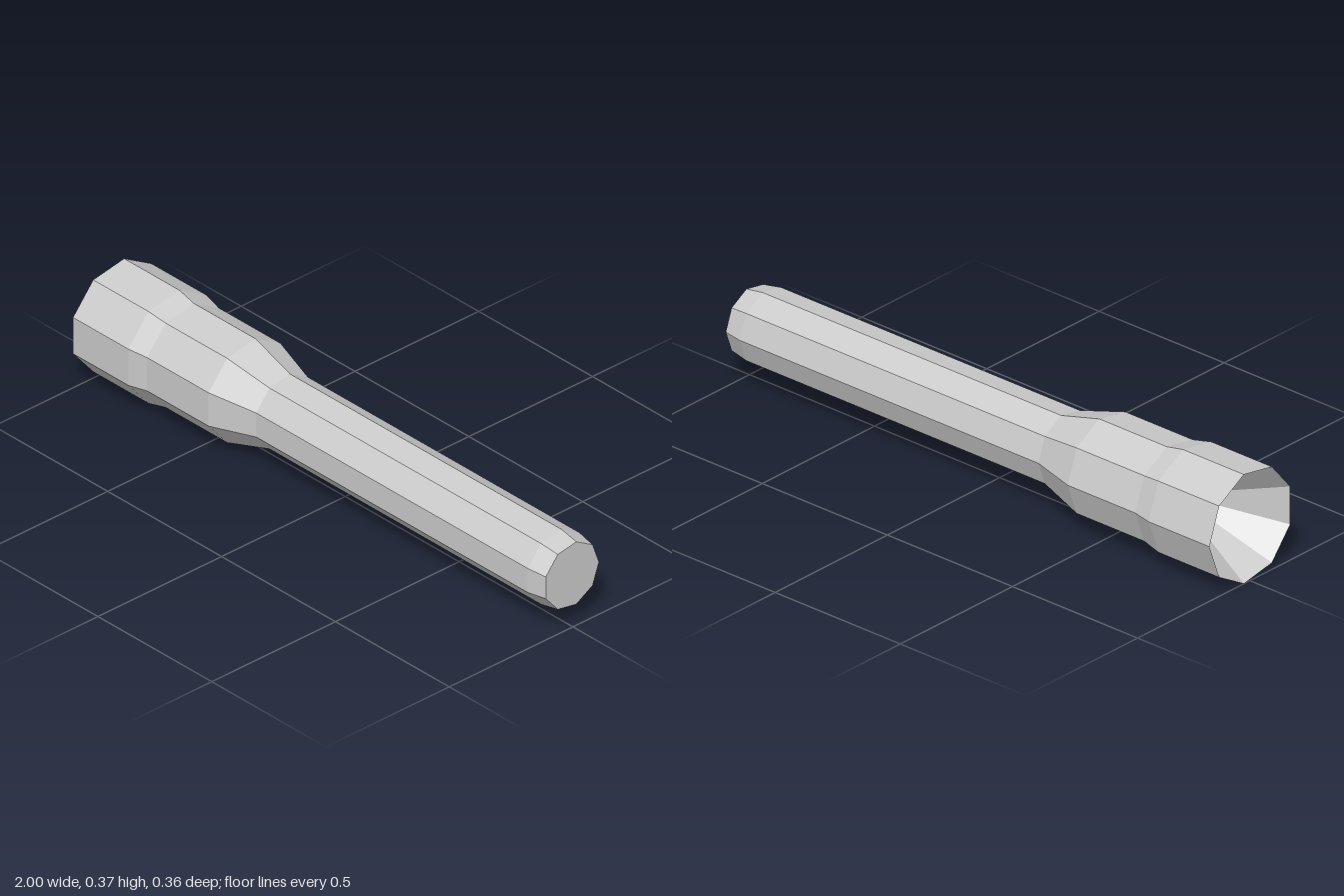
import * as THREE from 'three';

const SIDES = 9;
const material = new THREE.MeshStandardMaterial({ color: 0xcccccc, flatShading: true });

// Nine-sided turned section along x, from [x, radius] pairs
function turned(name, profile) {
  const points = profile.map(([x, r]) => new THREE.Vector2(r, x));
  const geometry = new THREE.LatheGeometry(points, SIDES, Math.PI);
  geometry.rotateZ(-Math.PI / 2);
  const mesh = new THREE.Mesh(geometry, material);
  mesh.name = name;
  return mesh;
}

export function createModel() {
  const group = new THREE.Group();
  group.name = 'flashlight';

  const body = new THREE.Group();
  body.name = 'body';
  body.add(
    // Hollow funnel sunk into the open end
    turned('reflector', [[-0.76, 0], [-0.76, 0.04], [-1, 0.1856]]),
    // Wide rim stepping down to the head
    turned('headRim', [[-1, 0.1856], [-0.757, 0.1856], [-0.69, 0.1705]]),
    // Head tapering into the handle
    turned('head', [[-0.69, 0.1705], [-0.42, 0.1705], [-0.26, 0.123]]),
    turned('handle', [[-0.26, 0.123], [0.933, 0.123]]),
    // Bevelled, closed tail
    turned('tailCap', [[0.933, 0.123], [1, 0.111], [1, 0]])
  );
  body.position.set(0, 0.1835, 0.0056);
  group.add(body);
  return group;
}
